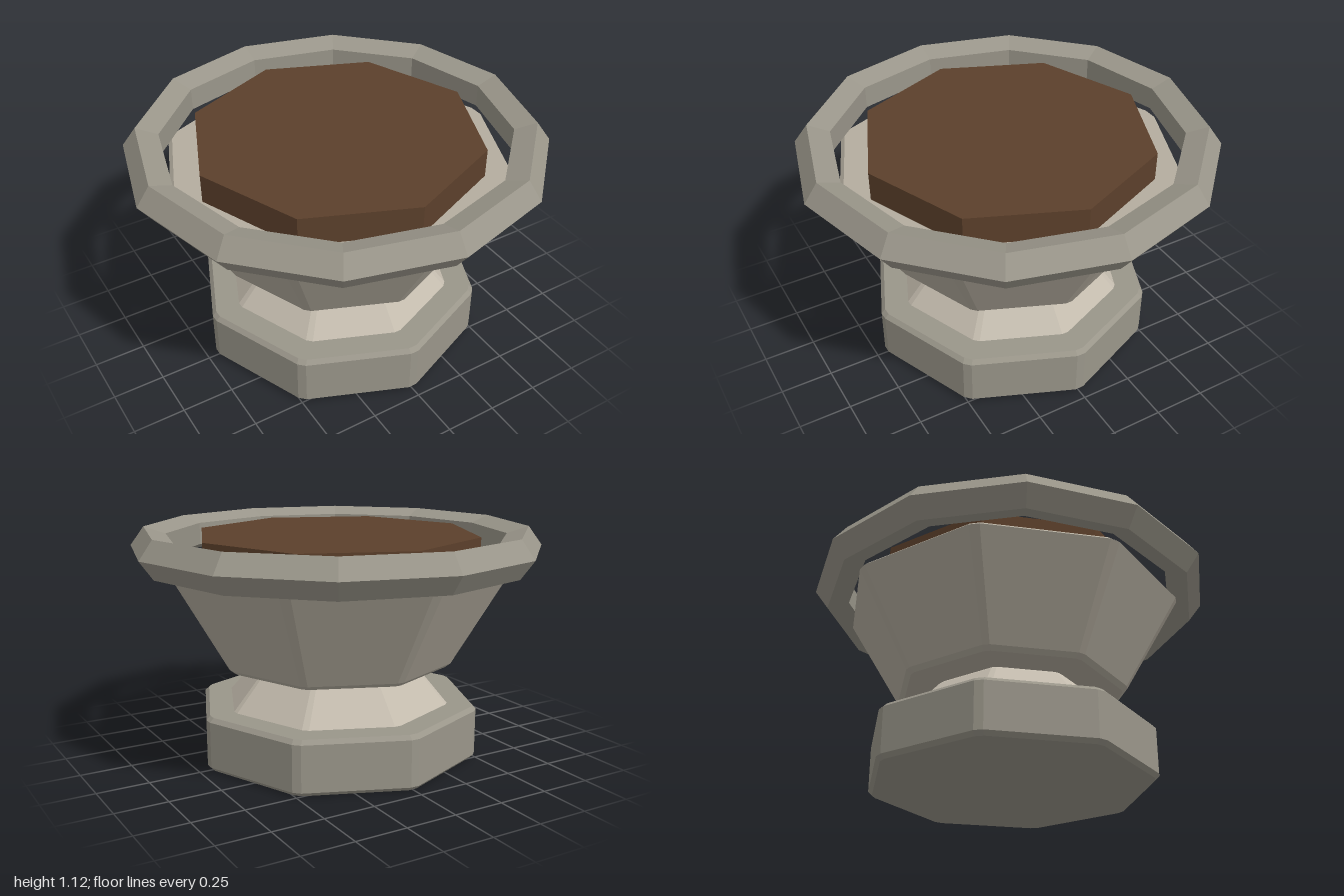
import * as THREE from 'three';

const material = (color) => new THREE.MeshStandardMaterial({ color, flatShading: true });

// Octagonal turned block with narrow chamfers on its upright edges; profile runs bottom to top.
function octagonBlock(name, profile, color, chamfer = 0.03) {
  const geometry = new THREE.LatheGeometry(profile.map(([r, y]) => new THREE.Vector2(r, y)), 16);
  const position = geometry.attributes.position;
  for (let v = 0; v < position.count; v++) {
    const segment = Math.floor(v / profile.length);
    const r = profile[v % profile.length][0];
    const angle = Math.floor(segment / 2) * Math.PI / 4 + (segment % 2 ? chamfer : -chamfer);
    position.setX(v, r * Math.sin(angle));
    position.setZ(v, r * Math.cos(angle));
  }
  geometry.computeVertexNormals();
  const mesh = new THREE.Mesh(geometry, material(color));
  mesh.name = name;
  return mesh;
}

export function createModel() {
  const group = new THREE.Group();
  group.name = 'stonePlanter';

  // Foot slab with bevelled top and bottom
  group.add(octagonBlock('base', [
    [0, 0], [0.68, 0], [0.7, 0.02], [0.7, 0.245], [0.68, 0.265], [0, 0.265],
  ], 0x9a968a));

  // Tapered neck between foot and bowl
  group.add(octagonBlock('neck', [
    [0, 0.25], [0.57, 0.25], [0.405, 0.44], [0.385, 0.455], [0, 0.455],
  ], 0xc4bcae));

  // Flared solid bowl
  group.add(octagonBlock('bowl', [
    [0, 0.455], [0.55, 0.455], [0.575, 0.475], [0.842, 0.932], [0.822, 0.95], [0, 0.95],
  ], 0xb4ad9f));

  // Raised soil
  const soil = new THREE.Mesh(new THREE.CylinderGeometry(0.7, 0.7, 0.16, 8), material(0x5c402b));
  soil.name = 'soil';
  soil.position.y = 1.01;
  group.add(soil);

  // Faceted rim ring
  const rim = new THREE.Mesh(new THREE.TorusGeometry(0.905, 0.095, 5, 12), material(0x9a968a));
  rim.name = 'rim';
  rim.rotation.x = Math.PI / 2;
  rim.position.y = 1.03;
  group.add(rim);

  return group;
}
